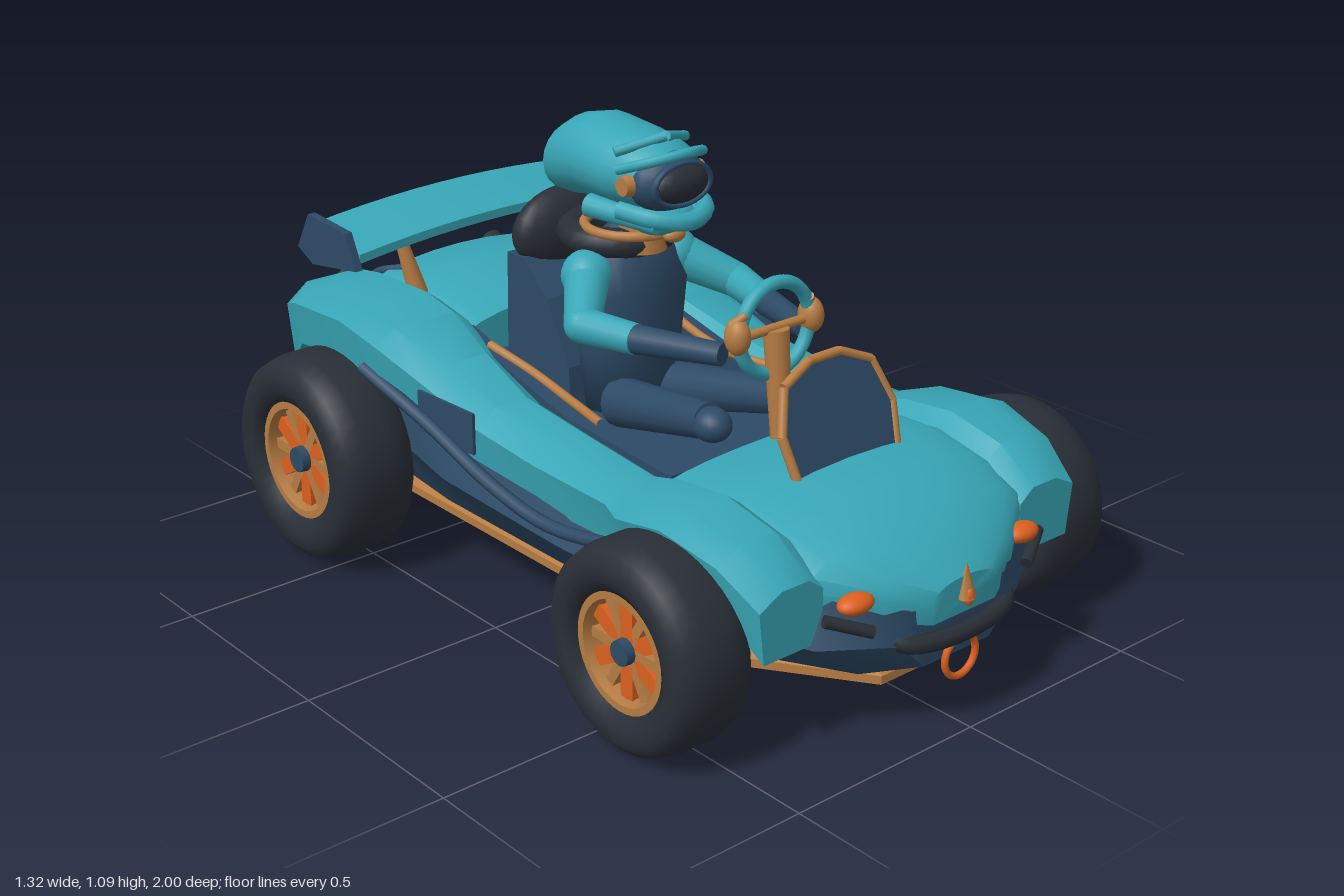
import * as THREE from 'three';
import { toCreasedNormals } from 'three/addons/utils/BufferGeometryUtils.js';

const mat = (name, color) => Object.assign(new THREE.MeshStandardMaterial({ color }), { name });
const teal = mat('teal', 0x38a6b6), navy = mat('navy', 0x2d4a66), rubber = mat('rubber', 0x292f37);
const tan = mat('tan', 0xb67c43), orange = mat('orange', 0xdb6020);

const V = (x, y, z) => new THREE.Vector3(x, y, z);
const flip = ring => ring.map(([x, y]) => [-x, y]).reverse();

// Skin between cross-sections [z, ring], running from +z to -z, rings counter-clockwise
function loft(sections) {
  const n = sections[0][1].length, pos = [], idx = [];
  for (const [z, ring] of sections) for (const [x, y] of ring) pos.push(x, y, z);
  for (let i = 0; i < sections.length - 1; i++) for (let j = 0; j < n; j++) {
    const a = i * n + j, b = i * n + (j + 1) % n;
    idx.push(a, a + n, b, b, a + n, b + n);
  }
  const last = (sections.length - 1) * n;
  for (let j = 1; j < n - 1; j++) idx.push(0, j, j + 1, last, last + j + 1, last + j);
  const g = new THREE.BufferGeometry();
  g.setAttribute('position', new THREE.Float32BufferAttribute(pos, 3));
  g.setIndex(idx);
  return toCreasedNormals(g, 0.6);
}

// Flat outline in (z, y), extruded across x and centred on x
function sidePlate(points, x, thick) {
  const g = new THREE.ExtrudeGeometry(new THREE.Shape(points.map(p => new THREE.Vector2(...p))), { depth: thick, bevelEnabled: false });
  return g.rotateY(-Math.PI / 2).translate(x + thick / 2, 0, 0);
}
const tube = (pts, r, closed = false) => new THREE.TubeGeometry(new THREE.CatmullRomCurve3(pts, closed), 24, r, 8, closed);
const ball = (rx, ry, rz) => new THREE.SphereGeometry(1, 20, 14).scale(rx, ry, rz);

function add(parent, name, geo, material, x = 0, y = 0, z = 0) {
  const m = new THREE.Mesh(geo, material);
  m.name = name;
  m.position.set(x, y, z);
  parent.add(m);
  return m;
}
function limb(parent, name, a, b, ra, rb, material) {
  const m = add(parent, name, new THREE.CylinderGeometry(rb, ra, a.distanceTo(b), 14), material);
  m.position.copy(a).lerp(b, 0.5);
  m.quaternion.setFromUnitVectors(V(0, 1, 0), b.clone().sub(a).normalize());
  return m;
}

function wheel(R, half, side) {
  const g = new THREE.Group();
  const p = [[.57, -.8], [.7, -1], [.85, -1], [.95, -.8], [1, -.35], [1, .35], [.95, .8], [.85, 1], [.7, 1], [.57, .8], [.55, 0], [.57, -.8]];
  add(g, 'tyre', new THREE.LatheGeometry(p.map(([r, y]) => new THREE.Vector2(r * R, y * half)), 40), rubber);
  const rim = [[.5, -.75], [.59, -.75], [.59, .8], [.5, .8], [.47, .5], [.5, -.75]];
  add(g, 'rim', toCreasedNormals(new THREE.LatheGeometry(rim.map(([r, y]) => new THREE.Vector2(r * R, y * half)), 32), 0.6), tan);
  add(g, 'brakeDisc', new THREE.CylinderGeometry(R * .5, R * .5, half * .5, 32), navy);
  for (let i = 0; i < 6; i++) {
    const a = i * Math.PI / 3;
    for (const [name, off, w, m] of [['spoke', 0, .16, orange], ['rib', Math.PI / 6, .1, tan]]) {
      const s = add(g, name, new THREE.BoxGeometry(R * .4, half * 1.2, R * w), m);
      s.position.set(Math.cos(a + off) * R * .3, 0, -Math.sin(a + off) * R * .3);
      s.rotation.y = a + off;
    }
  }
  add(g, 'hub', new THREE.CylinderGeometry(R * .12, R * .16, half * 1.6, 12), navy);
  g.rotation.z = -side * Math.PI / 2;
  return g;
}

function buildBody(g) {
  // lower hull: z, bottom/middle/top half widths, bottom/middle/top heights
  const hull = [[.95, .1, .17, .14, .16, .23, .3], [.86, .2, .33, .28, .14, .24, .35], [.7, .27, .42, .34, .13, .26, .41],
    [.4, .33, .45, .4, .13, .26, .38], [.2, .34, .48, .44, .13, .28, .36], [-.2, .34, .49, .45, .13, .3, .38],
    [-.4, .34, .45, .43, .13, .3, .42], [-.6, .33, .42, .4, .14, .3, .45], [-.93, .28, .34, .33, .2, .3, .47]];
  add(g, 'lowerHull', loft(hull.map(([z, a, b, c, y0, y1, y2]) =>
    [z, [[-a, y0], [a, y0], [b, y1], [c, y2], [-c, y2], [-b, y1]]])), navy);

  // domed hood and rear deck: z, half width, centre height, edge height
  const dome = rows => loft(rows.map(([z, w, yc, ye]) => {
    const ring = [[-w * .95, ye - .05], [w * .95, ye - .05]];
    for (let i = 0; i <= 10; i++) ring.push([w * Math.cos(i * Math.PI / 10), ye + (yc - ye) * Math.sin(i * Math.PI / 10)]);
    return [z, ring];
  }));
  add(g, 'hood', dome([[.965, .1, .345, .31], [.92, .2, .39, .33], [.83, .33, .45, .36], [.72, .35, .48, .41], [.58, .35, .495, .44], [.48, .35, .485, .44], [.38, .33, .465, .43]]), teal);
  add(g, 'rearDeck', dome([[-.41, .27, .585, .53], [-.5, .27, .61, .56], [-.65, .27, .625, .57], [-.8, .27, .615, .56], [-.9, .25, .56, .5], [-.95, .2, .5, .45]]), teal);

  // side shell: z, inner x, outer x, top, shoulder and bottom heights
  const side = [[.85, .3, .475, .4, .37, .25], [.75, .3, .5, .47, .44, .34], [.6, .3, .52, .5, .475, .42], [.46, .3, .52, .485, .45, .4],
    [.36, .29, .465, .455, .43, .34], [.1, .28, .46, .47, .43, .33], [-.1, .28, .465, .49, .45, .35], [-.28, .26, .475, .54, .5, .39],
    [-.42, .25, .52, .6, .57, .46], [-.55, .24, .53, .615, .6, .5], [-.75, .24, .53, .61, .59, .48], [-.85, .24, .49, .595, .55, .4], [-.93, .22, .41, .54, .48, .37]];
  const ring = ([, xi, xo, yt, yo, yb]) => [[xi, yb], [xo * .97, yb], [xo, yo], [xo - .06, yt], [xi + .04, yt], [xi, yt - .03]];
  for (const s of [1, -1]) {
    add(g, 'sideShell', loft(side.map(r => [r[0], s > 0 ? ring(r) : flip(ring(r))])), teal);
    add(g, 'cockpitWall', sidePlate([[.36, .36], [.36, .44], [0, .46], [-.3, .53], [-.41, .56], [-.41, .36]].reverse(), s * .262, .04), navy);
    add(g, 'cockpitTrim', tube([V(s * .26, .54, -.32), V(s * .238, .505, -.18), V(s * .24, .48, -.04), V(s * .265, .475, .1)], .011), tan);
    add(g, 'sideStrake', tube([V(s * .45, .35, .46), V(s * .475, .315, .17), V(s * .485, .35, -.03), V(s * .49, .42, -.25), V(s * .515, .5, -.48)], .016), navy);
    add(g, 'sidePanel', new THREE.BoxGeometry(.008, .1, .2), navy, s * .476, .44, -.2).rotation.y = s * -.05;
    add(g, 'deckGroove', tube([V(s * .19, .6, -.76), V(s * .225, .575, -.84), V(s * .215, .51, -.92)], .012), navy);
  }

  // undertray and diffuser
  const half = [[.14, .86], [.33, .58], [.33, -.7], [.26, -.83]];
  const tray = new THREE.Shape([...half, ...flip(half)].map(p => new THREE.Vector2(...p)));
  add(g, 'undertray', new THREE.ExtrudeGeometry(tray, { depth: .02, bevelThickness: .01, bevelSize: .02, bevelSegments: 1 })
    .rotateX(Math.PI / 2), tan, 0, .125, 0);
  add(g, 'diffuserRamp', sidePlate([[-.78, .12], [-.94, .22], [-.94, .235], [-.78, .15]].reverse(), 0, .56), tan);
  for (let i = -2; i <= 2; i++)
    add(g, 'diffuserFin', sidePlate([[-.8, .13], [-.94, .15], [-.95, .25], [-.8, .16]].reverse(), i * .135, .014), tan);
}

function buildTrim(g) {
  // nose
  add(g, 'bumper', tube([V(-.185, .25, .9), V(-.15, .228, .945), V(0, .22, .972), V(.15, .228, .945), V(.185, .25, .9)], .021), rubber);
  add(g, 'towRing', new THREE.TorusGeometry(.047, .008, 8, 28), orange, 0, .155, .96);
  add(g, 'noseCrest', new THREE.ConeGeometry(.024, .08, 6), tan, 0, .335, .965);
  add(g, 'noseCrestFoot', ball(.012, .022, .012), orange, 0, .3, .975);
  for (const s of [1, -1]) {
    add(g, 'headlight', ball(.046, .022, .03), orange, s * .252, .337, .895);
    limb(g, 'noseBar', V(s * .325, .315, .88), V(s * .235, .28, .93), .014, .014, rubber);
    // tail lamps
    limb(g, 'tailLampBody', V(s * .22, .475, -.9), V(s * .233, .505, -.965), .035, .048, tan);
    limb(g, 'tailLampLens', V(s * .23, .49, -.95), V(s * .235, .508, -.975), .036, .036, orange);
    limb(g, 'tailLampHood', V(s * .232, .51, -.955), V(s * .236, .527, -.99), .036, .03, rubber);
    // wing ends and supports
    add(g, 'wingEndPlate', sidePlate([[-.56, .705], [-.75, .675], [-.815, .705], [-.76, .8], [-.6, .79]].reverse(), s * .46, .02), navy);
    limb(g, 'wingSupport', V(s * .25, .57, -.62), V(s * .285, .74, -.65), .026, .014, tan);
  }
  add(g, 'tailLip', tube([V(-.16, .455, -.925), V(-.08, .44, -.965), V(0, .438, -.975), V(.08, .44, -.965), V(.16, .455, -.925)], .01), orange);
  add(g, 'rearPanel', new THREE.BoxGeometry(.22, .08, .02), navy, 0, .33, -.95);

  // arched rear wing
  const wing = new THREE.BoxGeometry(.9, .022, .2, 12, 1, 4), p = wing.attributes.position;
  for (let i = 0; i < p.count; i++) p.setY(i, p.getY(i) - .15 * p.getX(i) ** 2 - .15 * p.getZ(i));
  add(g, 'rearWing', toCreasedNormals(wing, 0.6), teal, 0, .775, -.67);

  // windshield leaning back
  const screen = new THREE.Group();
  screen.name = 'windshield';
  const edge = [[.15, 0], [.165, .1], [.13, .2], [.045, .238]], all = [...edge, ...flip(edge)];
  add(screen, 'windshieldPanel', new THREE.ExtrudeGeometry(new THREE.Shape(all.map(q => new THREE.Vector2(...q))), { depth: .012, bevelEnabled: false }), navy);
  for (let i = 0; i < all.length - 1; i++)
    limb(screen, 'windshieldFrame', V(...all[i], .006), V(...all[i + 1], .006), .011, .011, tan);
  screen.position.set(0, .475, .61);
  screen.rotation.x = -.35;
  g.add(screen);

  // steering and seat
  add(g, 'steeringWheel', new THREE.TorusGeometry(.105, .016, 10, 32), teal, 0, .72, .38);
  limb(g, 'steeringColumn', V(0, .42, .41), V(0, .72, .385), .022, .03, tan);
  limb(g, 'steeringSpoke', V(-.1, .72, .38), V(.1, .72, .38), .011, .011, tan);
  add(g, 'seat', sidePlate([[-.15, .37], [-.16, .5], [-.24, .65], [-.33, .73], [-.39, .73], [-.4, .37]].reverse(), 0, .3), navy);
  add(g, 'headrest', ball(.16, .105, .06), rubber, 0, .775, -.35);
}

function buildDriver(g) {
  const torso = [[.01, .4], [.12, .4], [.14, .55], [.155, .7], [.11, .8], [.05, .85], [.01, .86]].map(q => new THREE.Vector2(...q));
  add(g, 'torso', new THREE.LatheGeometry(torso, 20).scale(1, 1, .68), navy, 0, 0, -.115);
  add(g, 'neck', new THREE.CylinderGeometry(.05, .06, .12, 14), tan, 0, .85, -.07);
  add(g, 'collar', new THREE.TorusGeometry(.105, .038, 10, 24).rotateX(Math.PI / 2), rubber, 0, .81, -.16);
  add(g, 'collarTrim', new THREE.TorusGeometry(.115, .012, 8, 24).rotateX(Math.PI / 2), tan, 0, .845, -.1);
  for (const s of [1, -1]) {
    const shoulder = V(s * .13, .74, -.11), elbow = V(s * .235, .675, 0), mid = V(s * .195, .672, .14), wrist = V(s * .125, .68, .35);
    add(g, 'shoulder', ball(.062, .062, .062), teal, ...shoulder.toArray());
    limb(g, 'upperArm', shoulder, elbow, .055, .042, teal);
    add(g, 'elbow', ball(.042, .042, .042), teal, ...elbow.toArray());
    limb(g, 'sleeve', elbow, mid, .042, .036, teal);
    limb(g, 'forearm', mid, wrist, .034, .026, navy);
    add(g, 'hand', ball(.028, .042, .032), tan, s * .11, .725, .38);
    limb(g, 'thumb', V(s * .12, .75, .37), V(s * .095, .775, .39), .012, .01, tan);
    limb(g, 'thigh', V(s * .08, .43, -.05), V(s * .11, .5, .29), .06, .042, navy);
    add(g, 'knee', ball(.044, .04, .05), navy, s * .11, .495, .3);
    // helmet sides
    limb(g, 'helmetHinge', V(s * .085, .975, 0), V(s * .118, .975, 0), .028, .022, tan);
    limb(g, 'browFin', V(0, 1.075, .015), V(s * .105, 1.045, -.04), .012, .012, teal);
    limb(g, 'cheekGuard', V(s * .115, .905, -.12), V(s * .07, .89, .07), .028, .02, teal);
  }
  // helmet shell: z, centre height, vertical and sideways radii
  const shell = [[.04, .985, .062, .075], [.01, .985, .08, .1], [-.08, .985, .093, .12], [-.2, .99, .1, .118], [-.27, .975, .098, .108], [-.325, .957, .083, .088]];
  add(g, 'helmet', loft(shell.map(([z, cy, ry, rx]) =>
    [z, Array.from({ length: 20 }, (_, i) => [rx * Math.cos(i * Math.PI / 10), cy + ry * Math.sin(i * Math.PI / 10)])])), teal);
  add(g, 'face', ball(.1, .075, .07), navy, 0, .975, .015);
  add(g, 'goggleLens', ball(.08, .045, .04), rubber, 0, .975, .062);
  add(g, 'goggleRim', new THREE.TorusGeometry(.082, .01, 8, 28).scale(1, .6, 1), navy, 0, .975, .07);
  add(g, 'visorPeak', tube([V(-.115, 1.01, -.02), V(-.08, 1.035, .05), V(0, 1.05, .085), V(.08, 1.035, .05), V(.115, 1.01, -.02)], .012), teal);
  add(g, 'chinGuard', tube([V(-.11, .915, -.02), V(-.075, .905, .065), V(0, .895, .1), V(.075, .905, .065), V(.11, .915, -.02)], .022), teal);
  add(g, 'chin', ball(.085, .04, .06), teal, 0, .885, .01);
  add(g, 'mouthPiece', ball(.03, .018, .02), tan, 0, .85, .045);
}

export function createModel() {
  const model = new THREE.Group();
  model.name = 'buggy';
  for (const [name, build] of [['body', buildBody], ['trim', buildTrim], ['driver', buildDriver]]) {
    const g = new THREE.Group();
    g.name = name;
    build(g);
    model.add(g);
  }
  // wheels and axles
  for (const [name, R, half, x, z] of [['front', .233, .1, .548, .6], ['rear', .255, .105, .555, -.6]]) {
    for (const s of [1, -1]) {
      const w = wheel(R, half, s);
      w.name = name + 'Wheel';
      w.position.set(s * x, R, z);
      model.add(w);
    }
    limb(model, name + 'Axle', V(-x, R, z), V(x, R, z), .025, .025, navy);
  }
  return model;
}
